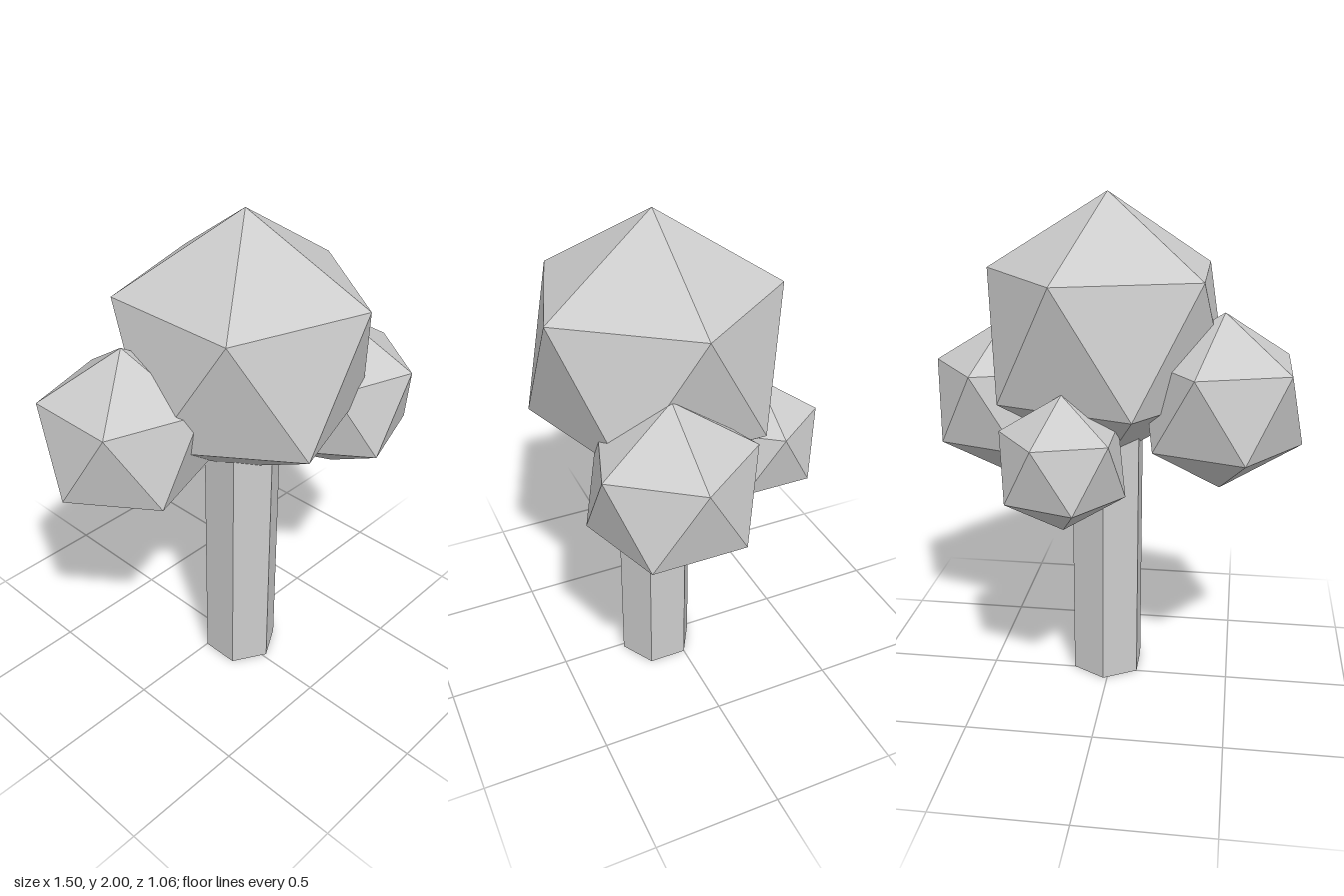
import * as THREE from 'three';

export function createModel() {
  const group = new THREE.Group();
  group.name = 'tree';
  const grey = new THREE.MeshStandardMaterial({ color: 0xcccccc, flatShading: true });
  grey.name = 'light grey';

  // Hexagonal trunk, its top hidden inside the crown
  const trunkHeight = 1.2;
  const trunk = new THREE.Mesh(new THREE.CylinderGeometry(0.155, 0.155, trunkHeight, 6), grey);
  trunk.name = 'trunk';
  trunk.position.set(0.016, trunkHeight / 2, 0.078);
  group.add(trunk);

  // Foliage: icosahedra standing on a corner, one upper-ring corner towards +x
  const tilt = -Math.atan(2 / (1 + Math.sqrt(5)));
  const clumps = [
    ['crown', 0.533, 0.017, 1.467, 0.076],
    ['leftFoliage', 0.34, 0.446, 1.151, 0.193],
    ['rightFoliage', 0.344, -0.443, 1.235, -0.077],
    ['backFoliage', 0.265, 0.135, 1.041, -0.308],
  ];
  for (const [name, radius, x, y, z] of clumps) {
    const geometry = new THREE.IcosahedronGeometry(radius, 0).rotateZ(tilt);
    const clump = new THREE.Mesh(geometry, grey);
    clump.name = name;
    clump.position.set(x, y, z);
    group.add(clump);
  }
  return group;
}
